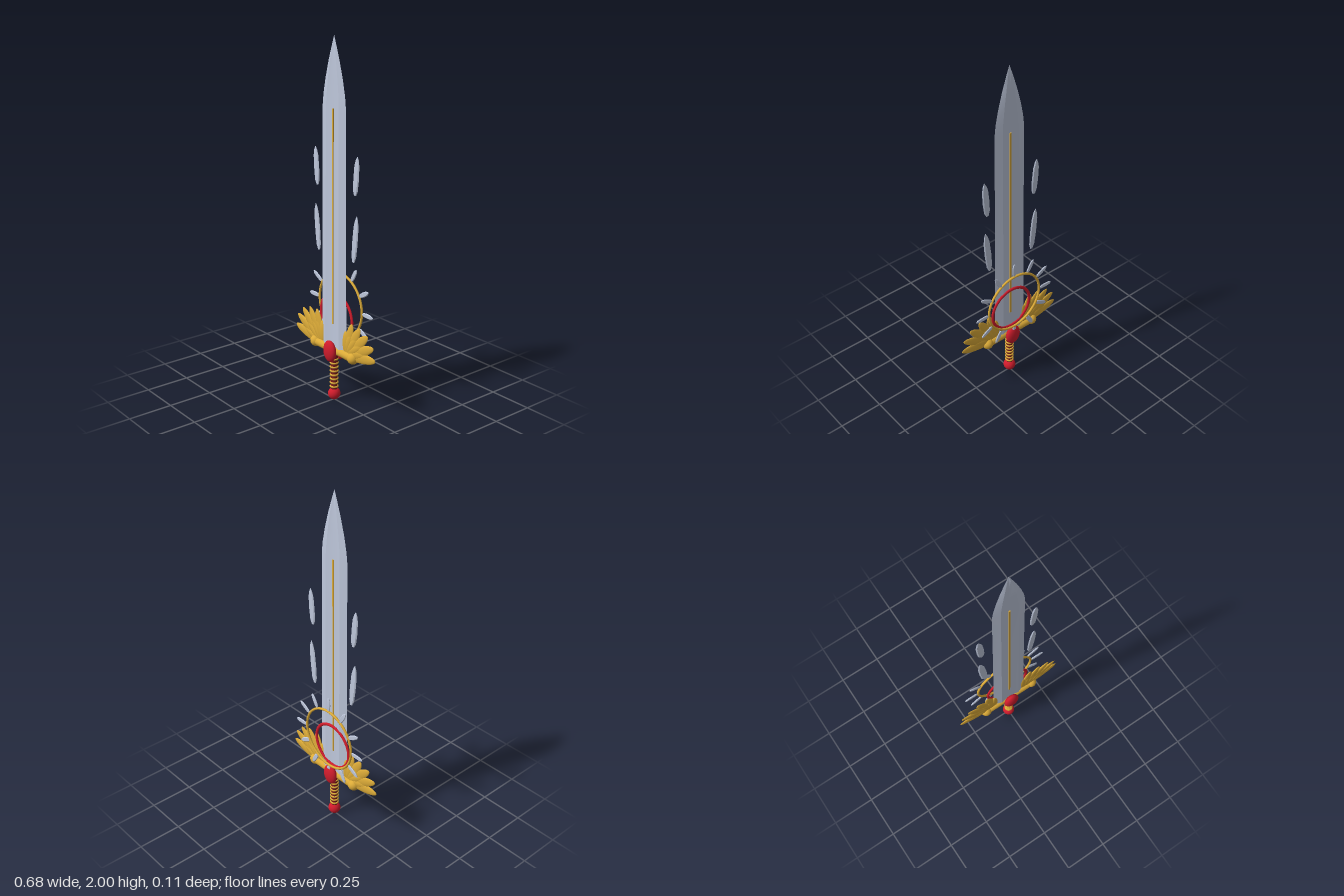
import * as THREE from 'three';
import { toCreasedNormals } from 'three/addons/utils/BufferGeometryUtils.js';

const mat = (color) => new THREE.MeshStandardMaterial({ color });

// Cross-sections as [x, z] factors, counter-clockwise from above
const FULLER = [[1, 0], [0.55, -1], [0, -0.45], [-0.55, -1], [-1, 0], [-0.55, 1], [0, 0.45], [0.55, 1]];
const BEVELLED = [[1, 0], [0.7, -1], [-0.7, -1], [-1, 0], [-0.7, 1], [0.7, 1]];

// Skins a section along y; rows are [y, halfWidth, halfThickness]
function loft(section, rows) {
  const n = section.length, pos = [], index = [];
  for (const [y, w, t] of rows) for (const [x, z] of section) pos.push(x * w, y, z * t);
  for (let k = 0; k < rows.length - 1; k++) {
    for (let i = 0; i < n; i++) {
      const a = k * n + i, b = k * n + (i + 1) % n;
      index.push(a, b, b + n, a, b + n, a + n);
    }
  }
  for (let i = 1; i < n - 1; i++) index.push(0, i + 1, i);
  const geo = new THREE.BufferGeometry();
  geo.setAttribute('position', new THREE.Float32BufferAttribute(pos, 3));
  geo.setIndex(index);
  return toCreasedNormals(geo, 0.4);
}

// Small pointed sliver of steel, centred on its length
const sliver = (len, w, t) => loft(BEVELLED, [
  [-len * 0.5, w * 0.35, t * 0.6], [-len * 0.38, w * 0.85, t], [-len * 0.1, w, t],
  [len * 0.25, w * 0.9, t], [len * 0.4, w * 0.5, t * 0.8], [len * 0.5, 0, 0],
]);

export function createModel() {
  const model = new THREE.Group();
  const steel = mat(0xbfc8dc), gold = mat(0xdcab38), red = mat(0xd01c2c), leather = mat(0x7c1c1c);

  function add(name, geo, material, x = 0, y = 0, z = 0, parent = model) {
    const mesh = new THREE.Mesh(geo, material);
    mesh.name = name;
    mesh.position.set(x, y, z);
    parent.add(mesh);
    return mesh;
  }

  // Blade with a hollow down each face, and a gold inlay in the hollow
  add('blade', loft(FULLER, [
    [0.29, 0.107, 0.017], [0.6, 0.102, 0.016], [1.2, 0.097, 0.014], [1.64, 0.094, 0.012],
    [1.7, 0.087, 0.011], [1.78, 0.07, 0.01], [1.87, 0.045, 0.008], [1.95, 0.018, 0.004], [2, 0, 0],
  ]), steel);
  add('bladeInlay', new THREE.BoxGeometry(0.009, 1.18, 0.022), gold, 0, 1.04, 0);

  // Grip, wrapped rings and pommel
  add('grip', new THREE.CylinderGeometry(0.021, 0.019, 0.22, 20), leather, 0, 0.16, 0);
  for (let i = 0; i < 8; i++) {
    const ring = add('gripRing', new THREE.TorusGeometry(0.02, 0.0055, 8, 24), gold, 0, 0.08 + i * 0.0235, 0);
    ring.rotation.x = Math.PI / 2;
  }
  add('pommel', new THREE.SphereGeometry(0.035, 24, 16), red, 0, 0.036, 0);

  // Crossguard with ball ends
  const bar = add('guardBar', new THREE.CylinderGeometry(0.025, 0.025, 0.32, 20), gold, 0, 0.3, 0);
  bar.rotation.z = Math.PI / 2;

  // Oval gems, front and back
  for (const s of [-1, 1]) {
    add('gem', new THREE.SphereGeometry(1, 28, 20), red, 0, 0.296, s * 0.031).scale.set(0.047, 0.062, 0.025);
  }

  // Each side: ball end, feathered wing, two floating shards
  const feathers = [
    [10, 0.245, 0.03], [26, 0.252, 0.03], [42, 0.242, 0.03], [58, 0.22, 0.029], [75, 0.2, 0.028],
    [18, 0.17, 0.026], [36, 0.17, 0.026], [54, 0.16, 0.026], [72, 0.15, 0.025], [90, 0.14, 0.025],
  ];
  const shards = [[0.158, 0.965, 0.26, 0.022, -0.1], [0.164, 1.303, 0.21, 0.022, -0.08]];
  for (const s of [-1, 1]) {
    add('guardBall', new THREE.SphereGeometry(0.033, 24, 16), gold, s * 0.16, 0.3, 0);

    const wing = new THREE.Group();
    wing.name = s > 0 ? 'leftWing' : 'rightWing';
    wing.position.set(s * 0.1, 0.3, 0);
    model.add(wing);
    feathers.forEach(([deg, len, w], i) => {
      const a = THREE.MathUtils.degToRad(deg);
      const feather = add('feather', new THREE.SphereGeometry(1, 20, 12), gold,
        s * Math.cos(a) * len / 2, Math.sin(a) * len / 2, 0, wing);
      feather.scale.set(len / 2, w, i < 5 ? 0.009 : 0.012);
      feather.rotation.z = s > 0 ? a : Math.PI - a;
    });

    for (const [x, y, len, w, tilt] of shards) {
      add('floatingShard', sliver(len, w, 0.005), steel, s * x, y, -0.012).rotation.z = s * tilt;
    }
  }

  // Rings behind the blade
  add('innerRing', new THREE.TorusGeometry(0.132, 0.009, 12, 64), red, 0, 0.487, -0.015)
    .scale.z = 0.75;
  const halo = new THREE.Group();
  halo.name = 'halo';
  halo.position.set(0, 0.55, -0.043);
  model.add(halo);
  add('haloRing', new THREE.TorusGeometry(0.18, 0.007, 12, 72), gold, 0, 0, 0, halo);

  // Twelve spikes pointing outward from the halo
  const spike = sliver(0.085, 0.014, 0.004);
  for (let i = 0; i < 12; i++) {
    const a = i * Math.PI / 6;
    add('haloSpike', spike, steel, Math.cos(a) * 0.228, Math.sin(a) * 0.228, 0, halo)
      .rotation.z = a - Math.PI / 2;
  }
  return model;
}
